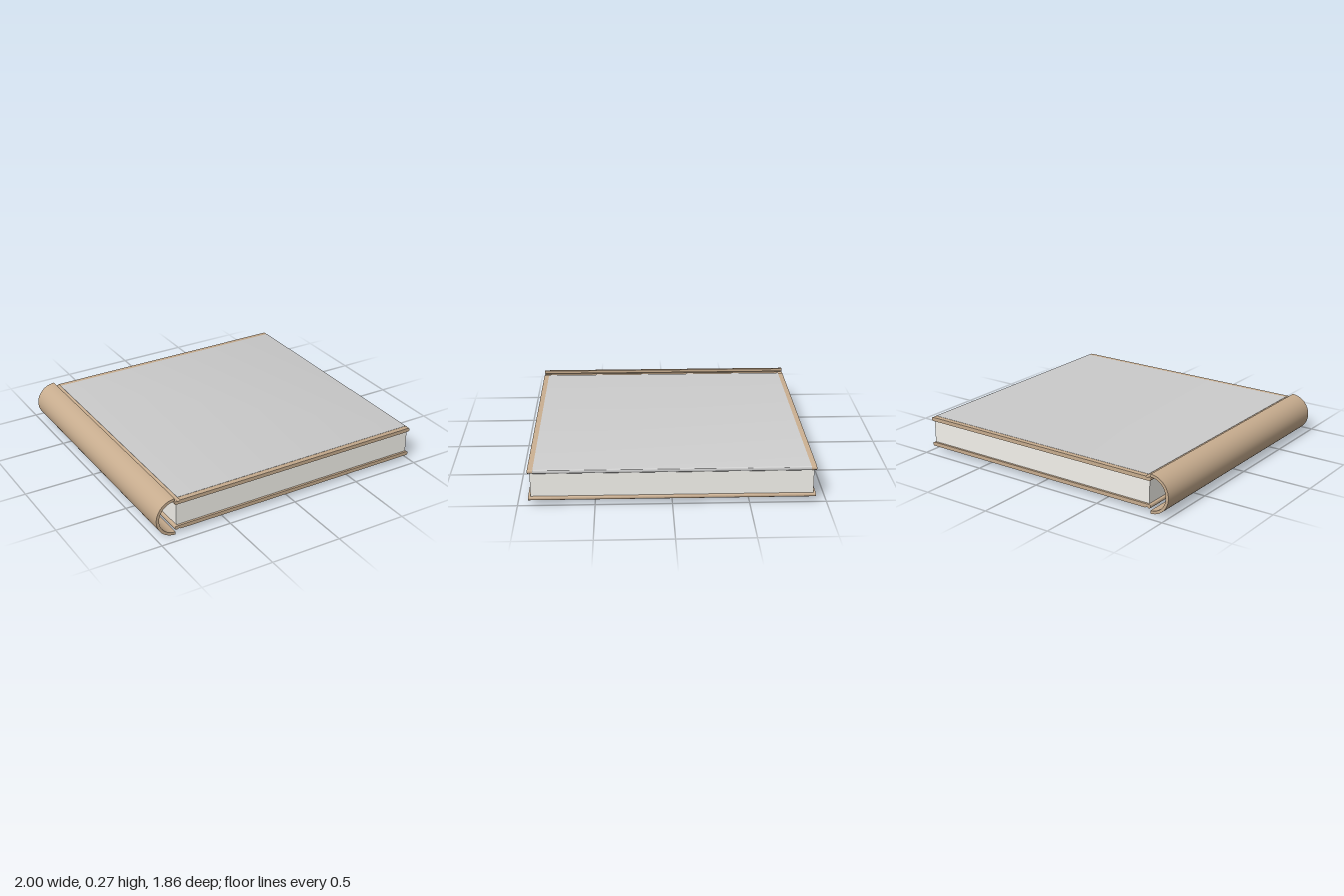
import * as THREE from 'three';
import { toCreasedNormals } from 'three/addons/utils/BufferGeometryUtils.js';

const tan = new THREE.MeshStandardMaterial({ color: 0xc8ad8f });
const grey = new THREE.MeshStandardMaterial({ color: 0xcccccc });
const paper = new THREE.MeshStandardMaterial({ color: 0xf3f1eb });

const DEPTH = 1.86;      // length of covers and spine along z
const R = 0.0135;        // half thickness of a cover board
const BACK = -0.868, FORE = 0.998;

// Extrude an x-y profile along z, centred on z = 0
function extruded(name, shape, depth, material) {
  const geometry = new THREE.ExtrudeGeometry(shape, { depth, bevelEnabled: false, curveSegments: 16 });
  geometry.translate(0, 0, -depth / 2);
  const mesh = new THREE.Mesh(toCreasedNormals(geometry, 0.6), material);
  mesh.name = name;
  return mesh;
}

// Board with rounded ends and a shallow hinge groove in its outer face
function coverShape() {
  const s = new THREE.Shape();
  s.moveTo(BACK + R, -R);
  s.lineTo(FORE - R, -R);
  s.absarc(FORE - R, 0, R, -Math.PI / 2, Math.PI / 2, false);
  s.lineTo(-0.828, R);
  s.quadraticCurveTo(-0.832, R - 0.006, -0.838, R - 0.006);
  s.quadraticCurveTo(-0.846, R - 0.006, BACK + R, R);
  s.absarc(BACK + R, 0, R, Math.PI / 2, Math.PI * 1.5, false);
  return s;
}

// Thin sheet lying on the board and wrapping round its fore edge
function panelShape() {
  const s = new THREE.Shape();
  const o = R + 0.0015, cx = FORE - R;
  s.moveTo(-0.828, R - 0.001);
  s.lineTo(cx, R - 0.001);
  s.absarc(cx, 0, R - 0.001, Math.PI / 2, -Math.PI / 2, true);
  s.lineTo(cx, -o);
  s.absarc(cx, 0, o, -Math.PI / 2, Math.PI / 2, false);
  s.lineTo(-0.828, o);
  return s;
}

// Half-round open channel
function spineShape() {
  const s = new THREE.Shape();
  const cx = -0.866, cy = 0.134;
  s.absarc(cx, cy, 0.134, Math.PI / 2, Math.PI * 1.5, false);
  s.absarc(cx, cy, 0.114, Math.PI * 1.5, Math.PI / 2, true);
  return s;
}

export function createModel() {
  const book = new THREE.Group();
  book.name = 'book';

  const topCover = new THREE.Group();
  topCover.name = 'topCover';
  topCover.position.y = 0.2325;
  topCover.add(
    extruded('topBoard', coverShape(), DEPTH, tan),
    extruded('topPanel', panelShape(), 1.79, grey)
  );

  // Same board turned over so its groove faces down
  const bottomCover = extruded('bottomCover', coverShape(), DEPTH, tan);
  bottomCover.rotation.x = Math.PI;
  bottomCover.position.y = 0.0455;

  const pages = new THREE.Mesh(new THREE.BoxGeometry(1.835, 0.18, 1.83), paper);
  pages.name = 'pages';
  pages.position.set(0.0675, 0.139, 0);

  book.add(topCover, bottomCover, pages, extruded('spine', spineShape(), DEPTH, tan));
  return book;
}
